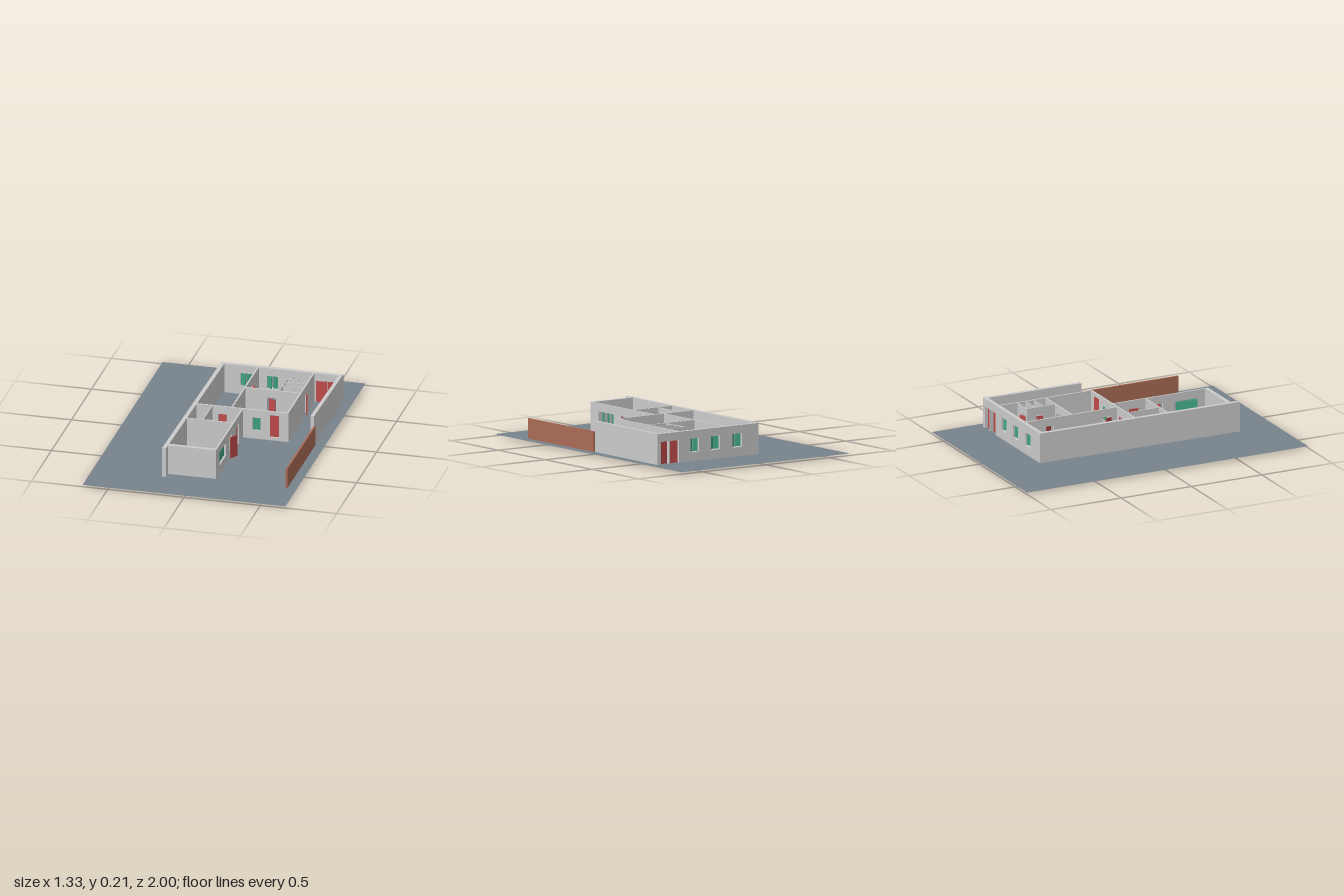
import * as THREE from 'three';

const FLOOR = 0.012, TOP = 0.21;
const paint = (color) => new THREE.MeshStandardMaterial({ color, side: THREE.DoubleSide });

export function createModel() {
  const model = new THREE.Group();
  const grey = paint(0xcccccc), red = paint(0xc04a4a), green = paint(0x3ea381);
  const slate = paint(0x78838c), brown = paint(0xaa6c56);

  // Upright slab between two plan points; doors are notches, windows are holes.
  // Openings are [start, end, bottom, top], measured along the slab.
  function slab(name, [x0, z0], [x1, z1], thick, openings = [], y0 = FLOOR, y1 = TOP, mat = grey) {
    const len = Math.hypot(x1 - x0, z1 - z0);
    const shape = new THREE.Shape().moveTo(0, y0);
    for (const [a, b, low, high] of openings) {
      if (low <= y0) {
        shape.lineTo(a, y0).lineTo(a, high).lineTo(b, high).lineTo(b, y0);
      } else {
        const hole = new THREE.Path().moveTo(a, low).lineTo(a, high).lineTo(b, high).lineTo(b, low);
        hole.closePath();
        shape.holes.push(hole);
      }
    }
    shape.lineTo(len, y0).lineTo(len, y1).lineTo(0, y1);
    shape.closePath();
    const geo = new THREE.ExtrudeGeometry(shape, { depth: thick, bevelEnabled: false });
    geo.translate(0, 0, -thick / 2);
    const mesh = new THREE.Mesh(geo, mat);
    mesh.name = name;
    mesh.position.set(x0, 0, z0);
    mesh.rotation.y = -Math.atan2(z1 - z0, x1 - x0);
    model.add(mesh);
  }

  // Walls along an axis, with openings given in plan coordinates
  const wallX = (name, x0, x1, z, t, open = []) =>
    slab(name, [x0, z], [x1, z], t, open.map(([a, b, c, d]) => [a - x0, b - x0, c, d]));
  const wallZ = (name, z0, z1, x, t, open = []) =>
    slab(name, [x, z0], [x, z1], t, open.map(([a, b, c, d]) => [a - z0, b - z0, c, d]));
  const door = (a, b) => [a, b, FLOOR, 0.157];
  const win = (a, b) => [a, b, 0.07, 0.157];

  // Ground
  const ground = new THREE.Mesh(new THREE.PlaneGeometry(1.33, 2), slate);
  ground.name = 'ground';
  ground.rotation.x = -Math.PI / 2;
  ground.position.y = FLOOR;
  model.add(ground);

  // Outer walls
  const backWindows = [[-0.06, 0.015], [0.115, 0.185], [0.28, 0.345]];
  slab('rightOuterWall', [-0.178, -0.666], [-0.198, 0.745], 0.026);
  slab('leftOuterWall', [0.595, -0.666], [0.583, 0.017], 0.024);
  wallX('backWall', -0.19, 0.606, -0.653, 0.026,
    [...backWindows.map(([a, b]) => win(a, b)), door(0.435, 0.508), door(0.514, 0.577)]);
  wallX('frontWall', -0.185, 0.13, 0.68, 0.026);
  wallX('courtyardWall', -0.18, 0.426, 0.011, 0.012,
    [door(-0.035, 0.025), win(0.19, 0.245), [0.305, 0.365, 0.035, 0.185]]);
  wallZ('wingWall', 0.011, 0.68, 0.125, 0.011,
    [door(0.125, 0.19), door(0.3, 0.365), win(0.45, 0.61)]);

  // Partitions
  wallZ('longPartition', -0.645, 0.011, 0.055, 0.011, [door(-0.505, -0.445), door(-0.1, -0.04)]);
  wallZ('corridorPartition', -0.645, 0.011, 0.42, 0.011, [door(-0.455, -0.4)]);
  wallX('roomPartition', 0.055, 0.42, -0.315, 0.011, [door(0.2, 0.26)]);
  wallZ('smallRoomPartition', 0.011, 0.245, -0.073, 0.006, [door(0.085, 0.145)]);
  wallX('wingPartition', -0.185, 0.125, 0.245, 0.009);

  // Closets
  wallZ('closetSide', -0.517, -0.315, 0.28, 0.005, [door(-0.452, -0.408)]);
  wallX('closetEnd', 0.28, 0.42, -0.517, 0.005, [door(0.3, 0.355)]);
  for (const z of [-0.46, -0.4]) wallX('closetDivider', 0.28, 0.42, z, 0.005);

  // Door leaves: hinge point, free edge, bottom, top
  const doors = [
    [[0.435, -0.648], [0.51, -0.64], 0.004, 0.16],
    [[0.577, -0.645], [0.514, -0.638], 0, 0.16],
    [[0.06, -0.495], [0.087, -0.447], 0.008, 0.152],
    [[0.302, -0.52], [0.35, -0.536], 0.014, 0.152],
    [[0.42, -0.455], [0.437, -0.418], 0.008, 0.152],
    [[0.215, -0.312], [0.26, -0.29], 0.014, 0.152],
    [[0.052, -0.035], [0.03, -0.085], 0.014, 0.152],
    [[0.018, 0.004], [-0.035, -0.006], 0.014, 0.155],
    [[-0.07, 0.09], [-0.048, 0.142], 0.014, 0.152],
    [[0.121, 0.128], [0.114, 0.19], 0.014, 0.155],
    [[0.135, 0.358], [0.166, 0.303], 0.008, 0.157],
    [[0.305, 0.01], [0.365, 0.003], 0.035, 0.185],
    [[0.277, -0.452], [0.27, -0.41], 0.008, 0.152],
  ];
  for (const [a, b, y0, y1] of doors) slab('door', a, b, 0.004, [], y0, y1, red);

  // Window casements, standing slightly open
  const casement = (a, b) => slab('windowCasement', a, b, 0.004, [], 0.072, 0.155, green);
  for (const [a, b] of backWindows) {
    const mid = (a + b) / 2;
    casement([a + 0.002, -0.652], [mid - 0.003, -0.636]);
    casement([b - 0.002, -0.652], [mid + 0.006, -0.644]);
  }
  casement([0.192, 0.011], [0.244, 0.004]);
  for (const z of [0.607, 0.555, 0.503]) casement([0.12, z - 0.045], [0.1, z - 0.004]);

  // Boundary fence
  slab('fence', [0.598, 0.018], [0.598, 0.717], 0.012, [], FLOOR, 0.143, brown);

  return model;
}
